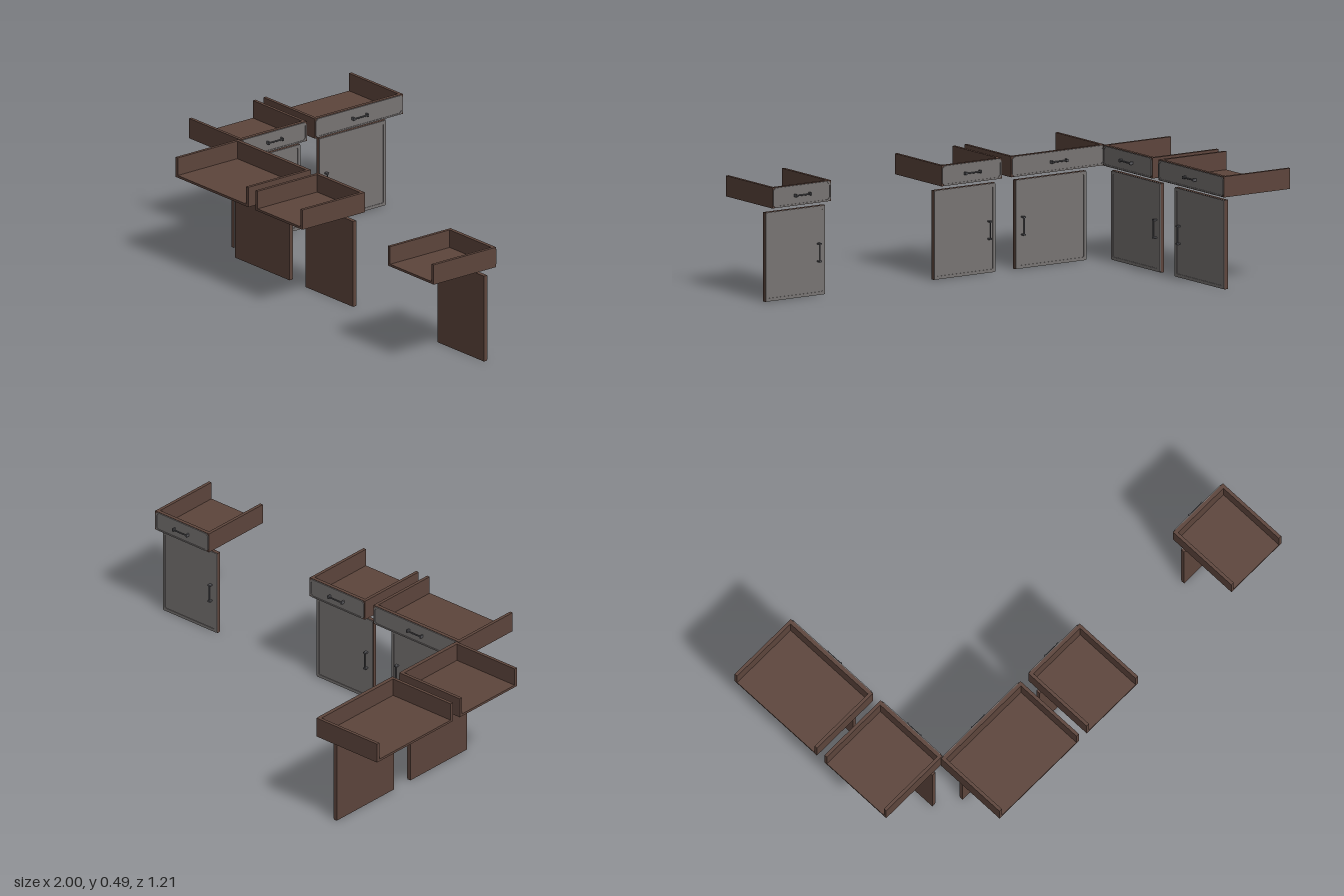
import * as THREE from 'three';

const wood = new THREE.MeshStandardMaterial({ name: 'brownWood', color: 0x5d453c });
const grey = new THREE.MeshStandardMaterial({ name: 'greyPanel', color: 0x787473 });
const metal = new THREE.MeshStandardMaterial({ name: 'darkMetal', color: 0x5a5a5e });

// Box given by its lower and upper corners
function box(parent, name, mat, x0, x1, y0, y1, z0, z1) {
  const m = new THREE.Mesh(new THREE.BoxGeometry(x1 - x0, y1 - y0, z1 - z0), mat);
  m.position.set((x0 + x1) / 2, (y0 + y1) / 2, (z0 + z1) / 2);
  m.name = name;
  parent.add(m);
  return m;
}

// Horizontal bar handle standing off the plane z = 0
function handle() {
  const g = new THREE.Group();
  g.name = 'handle';
  const bar = new THREE.Mesh(new THREE.CylinderGeometry(0.003, 0.003, 0.07, 10), metal);
  bar.rotation.z = Math.PI / 2;
  bar.position.z = 0.013;
  bar.name = 'handleBar';
  g.add(bar);
  for (const s of [-1, 1]) {
    box(g, 'handlePost', metal, s * 0.037 - 0.003, s * 0.037 + 0.003, -0.006, 0.006, 0, 0.017);
  }
  return g;
}

// Flat panel with clipped corners
function clippedShape(w, h, c) {
  const x = w / 2, y = h / 2;
  return new THREE.Shape([[-x + c, -y], [x - c, -y], [x, -y + c], [x, y - c],
    [x - c, y], [-x + c, y], [-x, y - c], [-x, -y + c]].map(p => new THREE.Vector2(...p)));
}

// Raised rim with a recessed field inside
function framedPanel(parent, w, h, clip, yMid, rim, zBack, depth) {
  const outer = clippedShape(w, h, clip);
  outer.holes.push(clippedShape(w - 2 * rim, h - 2 * rim, clip));
  const frame = new THREE.Mesh(
    new THREE.ExtrudeGeometry(outer, { depth, bevelEnabled: false }), grey);
  frame.position.set(0, yMid, zBack);
  frame.name = 'panelRim';
  parent.add(frame);
  const field = new THREE.Mesh(
    new THREE.ExtrudeGeometry(clippedShape(w - rim, h - rim, clip),
      { depth: depth * 0.4, bevelEnabled: false }), grey);
  field.position.copy(frame.position);
  field.name = 'panelField';
  parent.add(field);
}

// Tray open at the top and rear, its face at z = 0
function drawer(w) {
  const g = new THREE.Group(), d = 0.338, y0 = 0.4, y1 = 0.487, t = 0.014;
  g.name = 'drawer';
  box(g, 'drawerFloor', wood, -w / 2, w / 2, y0, y0 + 0.01, -d, -0.004);
  box(g, 'drawerFront', wood, -w / 2, w / 2, y0, y1, -0.02, -0.004);
  for (const s of [-1, 1]) {
    const x = s * (w - t) / 2;
    box(g, 'drawerSide', wood, x - t / 2, x + t / 2, y0, y1, -d, -0.004);
  }
  framedPanel(g, w - 0.008, y1 - y0 - 0.004, 0.01, (y0 + y1) / 2, 0.006, -0.004, 0.004);
  const h = handle();
  h.position.set(0, (y0 + y1) / 2, -0.003);
  g.add(h);
  return g;
}

// Door slab with a framed face; side is the handle's side
function door(w, side) {
  const g = new THREE.Group(), h = 0.375;
  g.name = 'door';
  box(g, 'doorSlab', wood, -w / 2, w / 2, 0, h, -0.02, -0.004);
  framedPanel(g, w - 0.002, h - 0.002, 0.003, h / 2, 0.013, -0.004, 0.004);
  const pull = handle();
  pull.rotation.z = Math.PI / 2;
  pull.position.set(side * (w / 2 - 0.034), 0.18, -0.003);
  g.add(pull);
  return g;
}

export function createModel() {
  const model = new THREE.Group();
  model.name = 'cabinetFronts';
  const add = (part, x, z, turn) => {
    part.position.set(x, 0, z);
    part.rotation.y = turn;
    model.add(part);
  };

  // Row facing the back: [drawer x0, x1, door x0, x1, handle side]
  for (const [a, b, c, d, side] of [
    [-0.677, -0.205, -0.618, -0.262, -1],
    [-0.158, 0.147, -0.16, 0.15, 1],
    [0.703, 1, 0.7, 1, 1],
  ]) {
    add(drawer(b - a), (a + b) / 2, 0.265, Math.PI);
    add(door(d - c, side), (c + d) / 2, 0.315, Math.PI);
  }

  // Row facing the left: [drawer z0, z1, door z0, z1, handle side]
  for (const [a, b, c, d, side] of [
    [-0.603, -0.132, -0.545, -0.19, -1],
    [-0.089, 0.265, -0.088, 0.265, 1],
  ]) {
    add(drawer(b - a), -0.662, (a + b) / 2, Math.PI / 2);
    add(door(d - c, side), -0.706, (c + d) / 2, Math.PI / 2);
  }
  return model;
}
